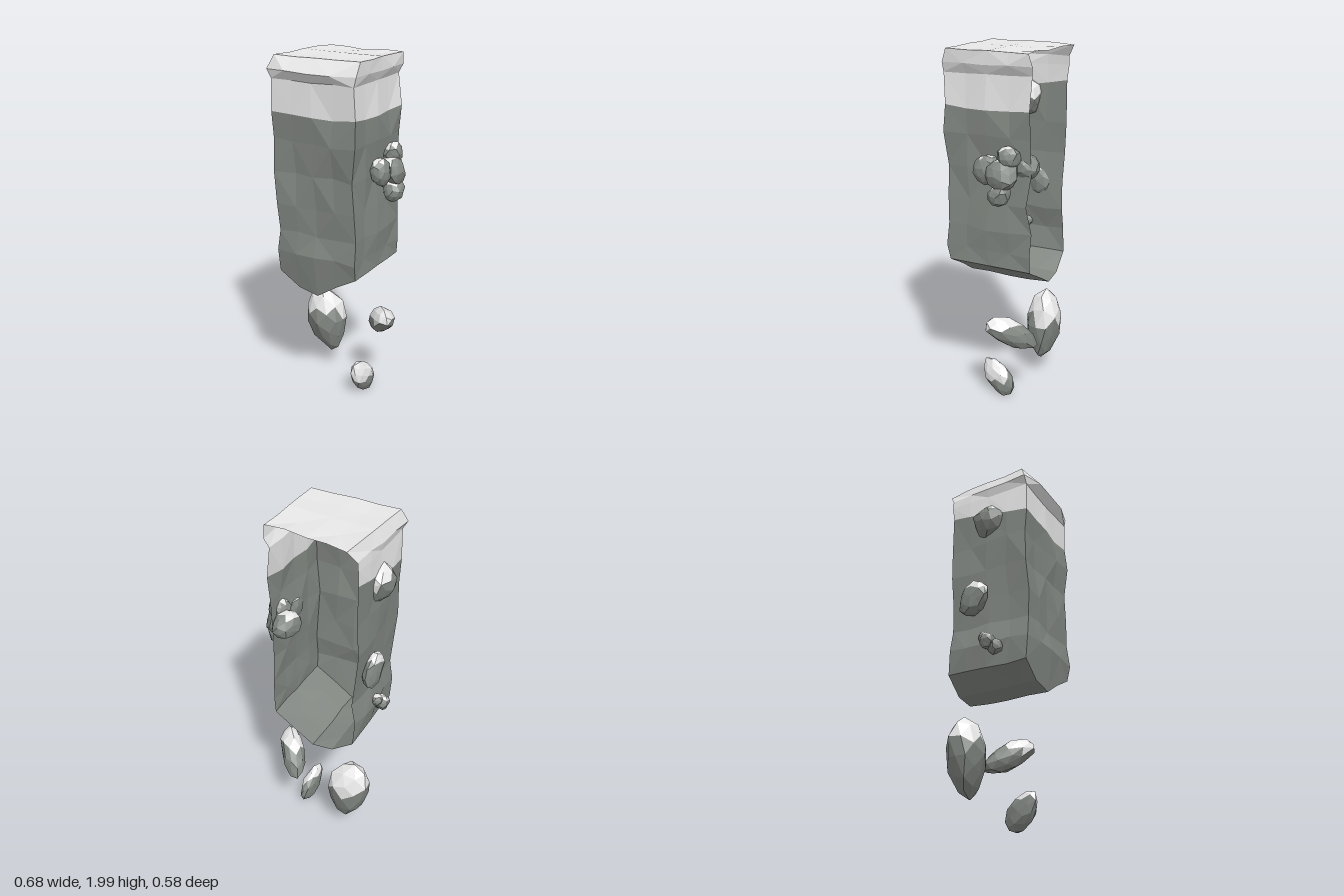
import * as THREE from 'three';

const paint = (name, color) => {
  const m = new THREE.MeshStandardMaterial({ color, flatShading: true, side: THREE.DoubleSide });
  m.name = name;
  return m;
};

// repeatable value in -1..1 for any point
const noise = (a, b, c = 0) => {
  const s = Math.sin(a * 127.1 + b * 311.7 + c * 74.7) * 43758.5453;
  return (s - Math.floor(s)) * 2 - 1;
};

// skin a grid of points: rows of equal length
function skin(rows) {
  const n = rows[0].length, idx = [];
  for (let r = 0; r < rows.length - 1; r++) {
    for (let c = 0; c < n - 1; c++) {
      const a = r * n + c, b = a + 1, d = a + n, e = d + 1;
      if ((r + c) % 2) idx.push(a, d, b, b, d, e);
      else idx.push(a, d, e, a, e, b);
    }
  }
  const g = new THREE.BufferGeometry();
  g.setAttribute('position', new THREE.Float32BufferAttribute(rows.flat(2), 3));
  g.setIndex(idx);
  const flat = g.toNonIndexed();
  flat.computeVertexNormals();
  return flat;
}

export function createModel() {
  const model = new THREE.Group();
  const stone = paint('dark stone', 0x828782);
  const pale = paint('pale stone', 0xe8e8e8);
  const add = (name, geo, mat) => {
    const m = new THREE.Mesh(geo, mat);
    m.name = name;
    model.add(m);
    return m;
  };

  const SEG = 4; // divisions along each wall
  // lower edge of the pillar as a height over x
  const keel = [[-0.26, 0.8], [-0.15, 0.72], [0, 0.69], [0.11, 0.77], [0.235, 0.84]];
  const keelY = (x) => {
    for (let i = 1; i < keel.length; i++) {
      const [x0, y0] = keel[i - 1], [x1, y1] = keel[i];
      if (x <= x1) return y0 + (y1 - y0) * Math.max(0, (x - x0) / (x1 - x0));
    }
    return 0.84;
  };

  // one level of the three-sided wall: right side, front, left side;
  // bulge pushes the middle of the front outward, backLeft sets the last corner
  function level([y, left, right, front, back], jitter = 0.012, bulge = 0, backLeft = [left, back]) {
    const row = [];
    const corners = [[right, back], [right, front], [left, front], backLeft];
    for (let s = 0; s < 3; s++) {
      for (let i = s ? 1 : 0; i <= SEG; i++) {
        const t = i / SEG;
        const x = corners[s][0] + (corners[s + 1][0] - corners[s][0]) * t;
        let z = corners[s][1] + (corners[s + 1][1] - corners[s][1]) * t;
        if (s === 1) z += bulge * Math.sin(Math.PI * t);
        const k = s * SEG + i;
        row.push([x + jitter * noise(k, y, 1), y + jitter * 0.7 * noise(k, y, 2), z + jitter * noise(k, y, 3)]);
      }
    }
    return row;
  }

  // each level: height, left x, right x, front z, back z
  const rim = level([1.993, -0.26, 0.247, 0.22, -0.248], 0.006, 0, [-0.232, -0.29]);
  // the pale band climbs a little toward the back of the left wall
  const band = level([1.7, -0.275, 0.235, 0.243, -0.255])
    .map(([x, y, z], k) => [x, y + 0.025 * Math.max(0, k - 2 * SEG), z]);
  const collar = [
    rim,
    level([1.925, -0.288, 0.245, 0.25, -0.258], 0.008, 0.042, [-0.265, -0.26]),
    level([1.875, -0.268, 0.222, 0.242, -0.25], 0.006),
    band,
  ];
  const shaft = [
    band,
    ...[
      [1.56, -0.272, 0.23, 0.24, -0.25],
      [1.38, -0.265, 0.222, 0.232, -0.25],
      [1.2, -0.26, 0.228, 0.235, -0.245],
      [1.05, -0.25, 0.235, 0.235, -0.25],
      [0.93, -0.265, 0.235, 0.25, -0.245],
    ].map((l) => level(l)),
    level([0.8, -0.25, 0.233, 0.222, -0.255], 0.006).map(([x, y, z]) => [x, keelY(x), z]),
  ];
  add('collar', skin(collar), pale);
  add('shaftWalls', skin(shaft), stone);

  // bridges the right wall to the left wall, for the cap and the floor;
  // sag shifts the middle of the open back edge along z
  function span(row, sag, height) {
    const rows = [];
    for (let i = 0; i <= SEG; i++) {
      const a = row[i], b = row[3 * SEG - i], line = [];
      for (let j = 0; j <= SEG; j++) {
        const t = j / SEG, x = a[0] + (b[0] - a[0]) * t;
        const shift = i === 0 ? sag * Math.sin(Math.PI * t) : 0;
        if (i === SEG) line.push(row[SEG + j]);
        else if (j === 0) line.push(a);
        else if (j === SEG) line.push(b);
        else line.push([x, height(x, i, j), a[2] + (b[2] - a[2]) * t + shift]);
      }
      rows.push(line);
    }
    return rows;
  }
  add('topCap', skin(span(rim, 0.018, (x, i, j) => 1.99 + 0.008 * noise(i, j))), pale);
  add('keelFloor', skin(span(shaft[shaft.length - 1], -0.01, (x, i, j) => keelY(x) + 0.006 * noise(i, j, 5))), stone);

  // faceted boulder with a pale cap on the side named by cap;
  // taper narrows its lower end, limit sets where the cap begins
  function rock(name, [x, y, z], size, tilt, { taper = 0, limit = 0.45, cap = [-0.1, 0.95, 0.25], seed = 1 } = {}) {
    const g = new THREE.IcosahedronGeometry(1, 1);
    const p = g.attributes.position, v = new THREE.Vector3();
    const turn = new THREE.Euler(...tilt);
    const toCap = new THREE.Vector3(...cap).normalize();
    const reach = []; // how far each corner lies toward the cap, -1..1
    for (let i = 0; i < p.count; i++) {
      v.fromBufferAttribute(p, i);
      reach.push(v.clone().applyEuler(turn).dot(toCap));
      const [a, b, c] = v.toArray().map((n) => Math.round(n * 50));
      v.multiplyScalar(1.0 + 0.1 * noise(a + seed, b, c));
      const s = 1 - taper * Math.max(0, 0.3 - v.y);
      v.set(v.x * s * size[0], v.y * size[1], v.z * s * size[2]).applyEuler(turn);
      p.setXYZ(i, v.x, v.y, v.z);
    }
    g.computeVertexNormals();
    g.clearGroups();
    for (let i = 0; i < p.count; i += 3) {
      g.addGroup(i, 3, (reach[i] + reach[i + 1] + reach[i + 2]) / 3 > limit ? 1 : 0);
    }
    add(name, g, [stone, pale]).position.set(x, y, z);
  }

  // floating boulders below
  rock('largeFloatingRock', [-0.193, 0.335, -0.16], [0.13, 0.205, 0.112], [0, 0, 0.16],
    { taper: 0.22, limit: 0.3, cap: [0, 0.95, -0.15] });
  rock('middleFloatingRock', [0.205, 0.445, -0.135], [0.07, 0.165, 0.075], [0.93, 0, -0.58],
    { limit: 0.35, cap: [0.2, 0.85, 0.4], seed: 2 });
  rock('smallFloatingRock', [0.145, 0.108, -0.025], [0.045, 0.122, 0.08], [0.75, 0, 0.1],
    { limit: 0.25, cap: [0.4, 0.85, 0.3], seed: 3 });

  // boulders lodged in the wall at -x
  rock('upperSideRock', [-0.25, 1.69, 0], [0.1, 0.105, 0.105], [0.2, 0, 0.2],
    { taper: 0.2, limit: 0.35, cap: [0.1, 0.85, -0.3], seed: 4 });
  rock('middleSideRock', [-0.285, 1.21, -0.08], [0.045, 0.11, 0.085], [0.5, 0, 0.05], { limit: 0.5, seed: 5 });
  for (const [i, [x, y, z, r]] of [
    [-0.3, 0.92, 0.02, 0.042], [-0.275, 0.89, 0.05, 0.04], [-0.28, 0.95, -0.01, 0.035],
  ].entries()) rock('lowerSideRock' + (i + 1), [x, y, z], [r, r * 1.1, r], [i, i, 0], { limit: 0.65, seed: 6 + i });

  // cluster on the opposite wall
  for (const [i, [x, y, z, sx, sy, sz]] of [
    [0.25, 1.39, -0.01, 0.05, 0.08, 0.075],
    [0.27, 1.38, -0.115, 0.06, 0.085, 0.085],
    [0.25, 1.465, -0.14, 0.06, 0.065, 0.06],
    [0.285, 1.27, -0.1, 0.055, 0.065, 0.06],
    [0.175, 1.41, -0.195, 0.085, 0.07, 0.07],
  ].entries()) rock('clusterRock' + (i + 1), [x, y, z], [sx, sy, sz], [i * 0.7, i * 0.5, 0.2], { limit: 0.75, seed: 11 + i });

  return model;
}
